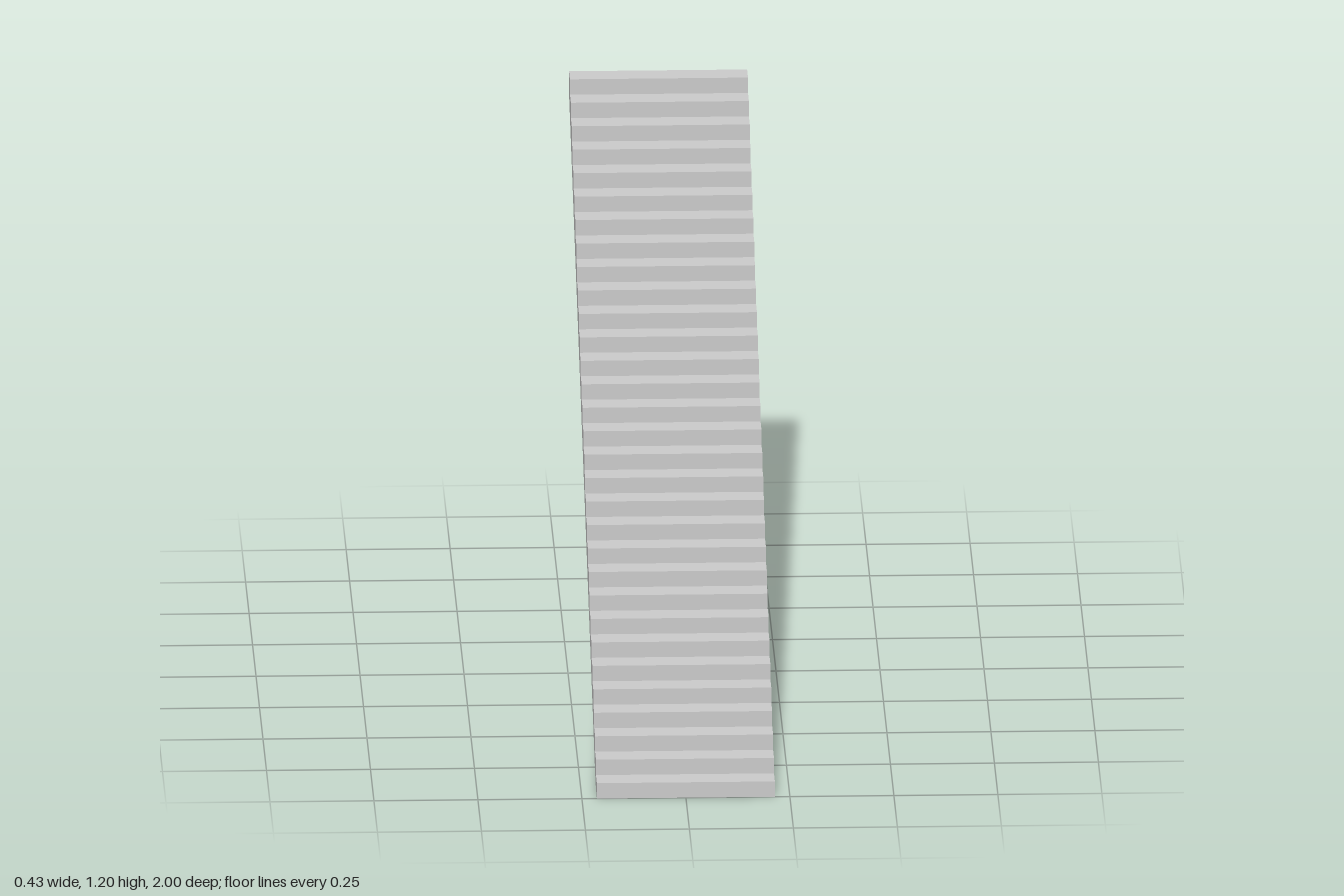
import * as THREE from 'three';

const STEPS = 31;
const WIDTH = 0.428;
const RISE = 1.2 / STEPS;
const RUN = 2 / STEPS;

export function createModel() {
  const group = new THREE.Group();
  group.name = 'staircase';

  // Side profile: shape x runs from the foot (0) to the top end (2)
  const profile = new THREE.Shape();
  profile.moveTo(0, 0);
  for (let i = 0; i < STEPS; i++) {
    profile.lineTo(i * RUN, (i + 1) * RISE); // riser
    profile.lineTo((i + 1) * RUN, (i + 1) * RISE); // tread
  }
  // Sloped soffit, easing into the flat foot
  profile.lineTo(2, 1.14);
  profile.lineTo(0.125, 0.022);
  profile.lineTo(0.07, 0.003);
  profile.closePath();

  // Extrude across the width, then turn so the foot faces +z
  const geometry = new THREE.ExtrudeGeometry(profile, { depth: WIDTH, bevelEnabled: false });
  geometry.translate(-1, 0, -WIDTH / 2);
  geometry.rotateY(Math.PI / 2);

  const material = new THREE.MeshStandardMaterial({ color: 0xcccccc, flatShading: true });
  const flight = new THREE.Mesh(geometry, material);
  flight.name = 'stairFlight';
  group.add(flight);
  return group;
}
